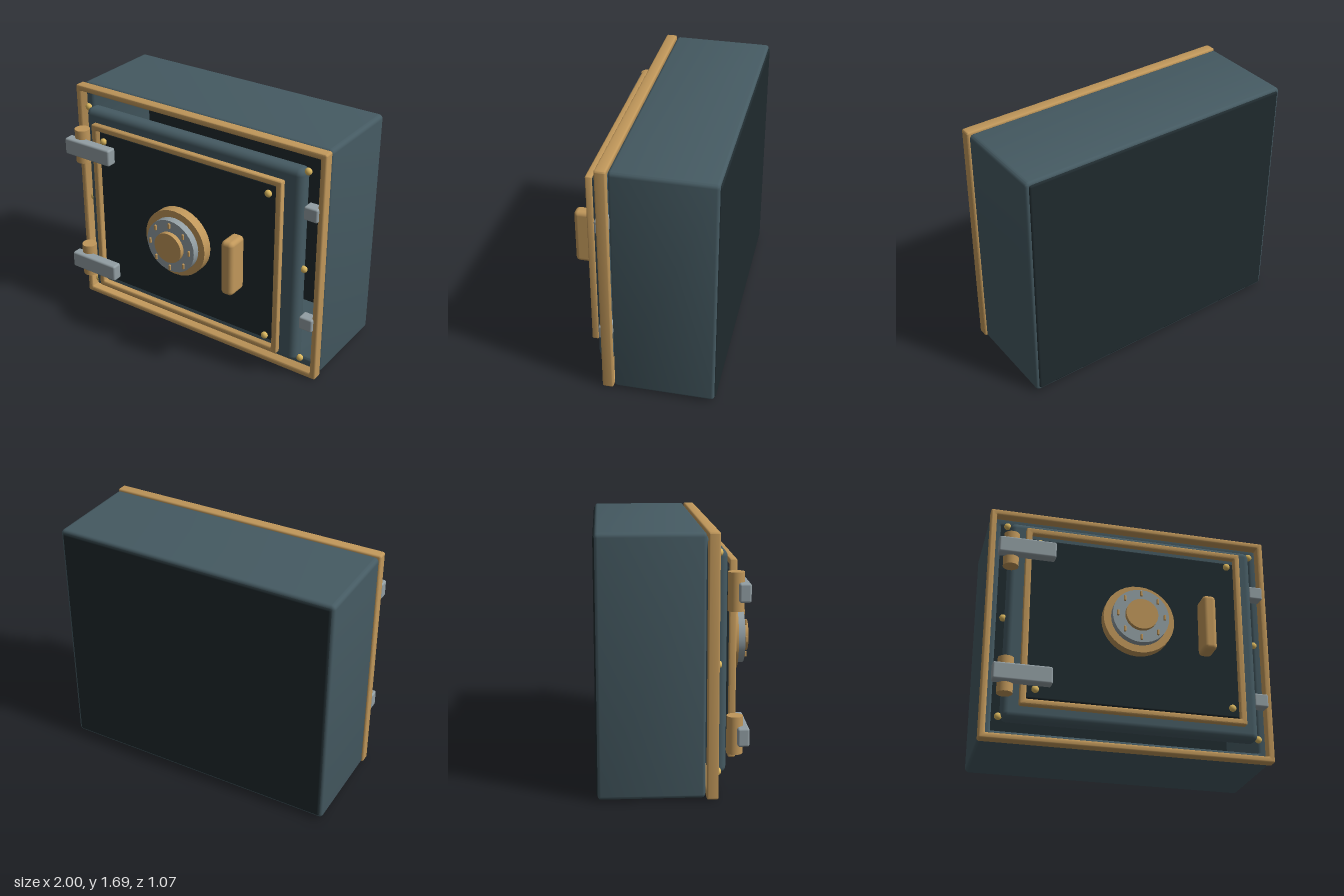
import * as THREE from 'three';
import { RoundedBoxGeometry } from 'three/addons/geometries/RoundedBoxGeometry.js';
import { toCreasedNormals } from 'three/addons/utils/BufferGeometryUtils.js';

const mat = (color) => new THREE.MeshStandardMaterial({ color });

// Rounded rectangle outline, used for both shapes and holes
function roundedRect(path, x0, y0, x1, y1, r) {
  path.moveTo(x0 + r, y0);
  path.lineTo(x1 - r, y0);
  path.absarc(x1 - r, y0 + r, r, -Math.PI / 2, 0, false);
  path.lineTo(x1, y1 - r);
  path.absarc(x1 - r, y1 - r, r, 0, Math.PI / 2, false);
  path.lineTo(x0 + r, y1);
  path.absarc(x0 + r, y1 - r, r, Math.PI / 2, Math.PI, false);
  path.lineTo(x0, y0 + r);
  path.absarc(x0 + r, y0 + r, r, Math.PI, Math.PI * 1.5, false);
  return path;
}

// Rectangular ring with bevelled edges between z0 and z1
function ringGeometry(halfW, y0, y1, wall, z0, z1, bevel, r) {
  const shape = roundedRect(new THREE.Shape(), -halfW, y0, halfW, y1, r);
  shape.holes.push(roundedRect(new THREE.Path(), -halfW + wall, y0 + wall, halfW - wall, y1 - wall, 0.005));
  const geo = new THREE.ExtrudeGeometry(shape, {
    depth: z1 - z0 - 2 * bevel, bevelEnabled: true, bevelSize: bevel,
    bevelThickness: bevel, bevelOffset: -bevel, bevelSegments: 3, curveSegments: 4,
  });
  geo.translate(0, 0, z0 + bevel);
  return toCreasedNormals(geo, 0.6);
}

export function createModel() {
  const model = new THREE.Group();
  model.name = 'safe';
  const steel = mat(0x455a62), dark = mat(0x1f2a2e), brass = mat(0xc0975a);
  const rivetGold = mat(0xdcb85f), grey = mat(0x929ea3);

  const add = (name, geo, material, parent = model) => {
    const mesh = new THREE.Mesh(geo, material);
    mesh.name = name;
    parent.add(mesh);
    return mesh;
  };
  // Rounded box given by its limits on each axis
  const box = (name, [x0, x1], [y0, y1], [z0, z1], r, material, parent) => {
    const mesh = add(name, new RoundedBoxGeometry(x1 - x0, y1 - y0, z1 - z0, 3, r), material, parent);
    mesh.position.set((x0 + x1) / 2, (y0 + y1) / 2, (z0 + z1) / 2);
    return mesh;
  };
  const rivet = (name, x, y, z, parent) => {
    const mesh = add(name, new THREE.SphereGeometry(0.025, 16, 10), rivetGold, parent);
    mesh.position.set(x, y, z);
    mesh.scale.z = 0.8;
  };

  // Hollow body, back plate and front frame
  add('bodyShell', ringGeometry(0.995, 0.01, 1.69, 0.08, -0.525, 0.152, 0.02, 0.03), steel);
  box('backPlate', [-0.975, 0.975], [0.03, 1.67], [-0.535, -0.47], 0.015, dark);
  add('frontFrame', ringGeometry(1, 0, 1.693, 0.043, 0.16, 0.235, 0.012, 0.014), brass);
  for (const side of [-1, 1]) {
    for (const y of [0.15, 0.85, 1.555]) rivet('frameRivet', side * 0.882, y, 0.242);
  }

  // Door with inset panel and trim
  const door = new THREE.Group();
  door.name = 'door';
  model.add(door);
  box('doorSlab', [-0.87, 0.87], [0.125, 1.57], [0.175, 0.295], 0.045, steel, door);
  box('doorPanel', [-0.745, 0.745], [0.26, 1.438], [0.28, 0.322], 0.012, dark, door);
  add('doorTrim', ringGeometry(0.765, 0.2, 1.497, 0.042, 0.318, 0.365, 0.01, 0.012), brass, door);
  for (const x of [-0.667, 0.667]) {
    for (const y of [0.313, 1.387]) rivet('panelRivet', x, y, 0.356, door);
  }

  // Combination dial
  const dial = new THREE.Group();
  dial.name = 'dial';
  dial.position.y = 0.85;
  door.add(dial);
  const disc = (name, r, z0, z1, material) => {
    const geo = new THREE.CylinderGeometry(r, r, z1 - z0, 32).rotateX(Math.PI / 2);
    add(name, geo, material, dial).position.z = (z0 + z1) / 2;
  };
  disc('dialBase', 0.243, 0.38, 0.449, brass);
  disc('dialRing', 0.193, 0.445, 0.5, grey);
  disc('dialKnob', 0.109, 0.49, 0.532, brass);
  for (let i = 0; i < 8; i++) {
    const a = (i * Math.PI) / 4, x = 0.16 * Math.cos(a), y = 0.16 * Math.sin(a);
    box('dialMark', [x - 0.008, x + 0.008], [y - 0.02, y + 0.02], [0.503, 0.518], 0.005, brass, dial);
  }

  // Pull handle
  box('handle', [0.425, 0.517], [0.65, 1.05], [0.38, 0.535], 0.03, brass, door);

  // Hinges with straps on the one side, latch bolts on the other
  for (const y of [0.39, 1.31]) {
    const pin = add('hingePin', new THREE.CylinderGeometry(0.053, 0.053, 0.246, 24), brass);
    pin.position.set(-0.862, y, 0.347);
    box('hingeStrap', [-0.955, -0.565], [y - 0.06, y + 0.06], [0.357, 0.432], 0.014, grey);
  }
  for (const y of [0.437, 1.265]) {
    box('latchBolt', [0.868, 0.968], [y - 0.048, y + 0.048], [0.175, 0.257], 0.012, grey);
  }

  return model;
}
